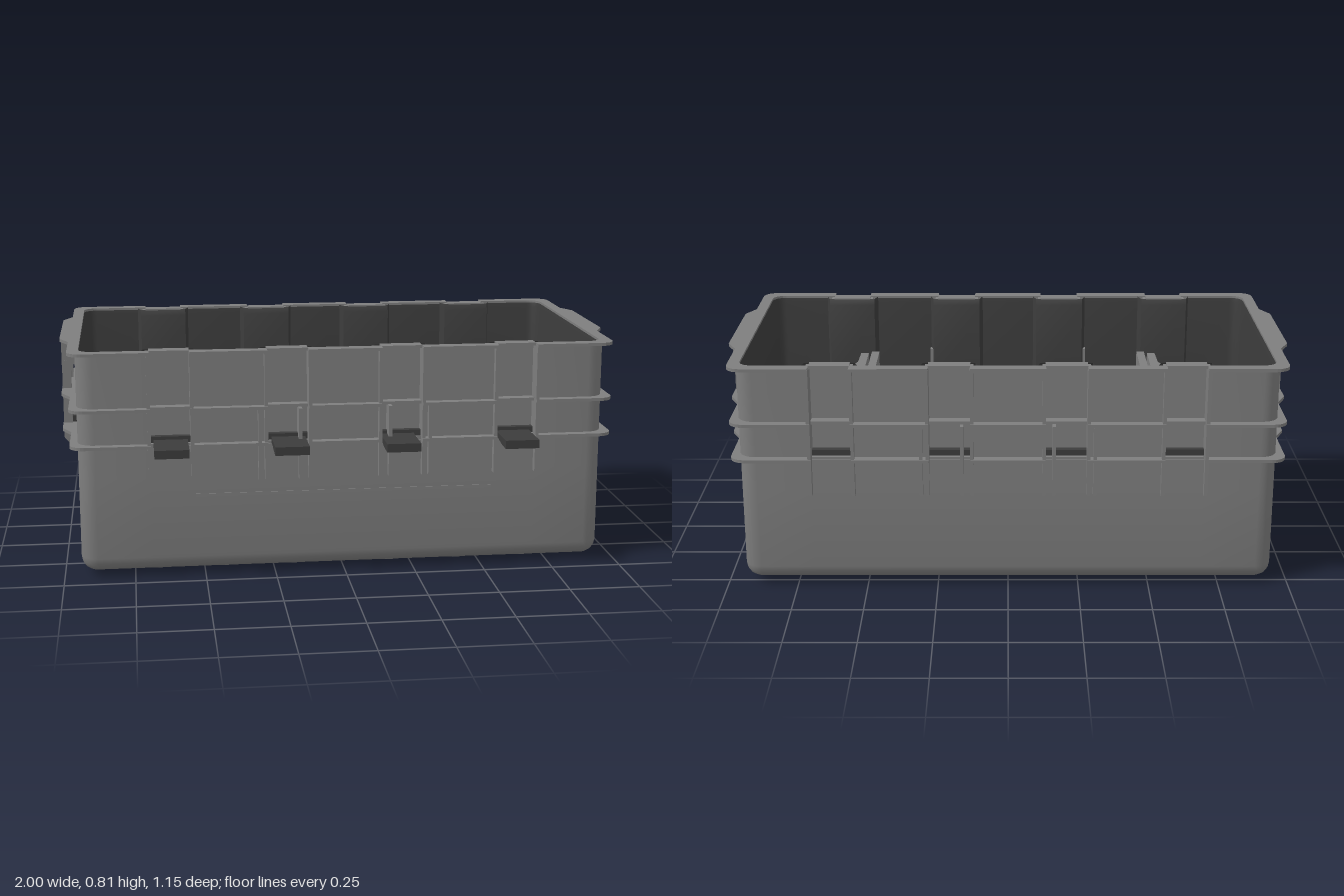
import * as THREE from 'three';
import { toCreasedNormals } from 'three/addons/utils/BufferGeometryUtils.js';

const HX = 0.94, HZ = 0.485;
const CHANNELS = [[0.685, 0.545], [0.275, 0.13]];
const grey = new THREE.MeshStandardMaterial({ color: 0x7e7e7e, side: THREE.DoubleSide });
const dark = new THREE.MeshStandardMaterial({ color: 0x3c3c3c, side: THREE.DoubleSide });

// Plan outline mirrored from one quarter: end recess or bulge, round corner, latch channels
function outline(hx, hz, r, channel, { recess = 0, bulge = 0, widen = 0 } = {}) {
  const q = bulge
    ? [[hx + bulge, 0.2], [hx, 0.27]]
    : [[hx, 0.155], [hx - recess, 0.155], [hx - recess, 0.32], [hx, 0.32]];
  for (let i = 0; i <= 6; i++) {
    const a = (i / 6) * Math.PI / 2;
    q.push([hx - r + r * Math.cos(a), hz - r + r * Math.sin(a)]);
  }
  for (const [a, b] of CHANNELS)
    q.push([a + widen, hz], [a + widen * 0.6, hz - channel], [b - widen * 0.6, hz - channel], [b - widen, hz]);
  const back = [...q].reverse();
  return [
    ...q,
    ...back.map(([x, z]) => [-x, z]),
    ...q.map(([x, z]) => [-x, -z]),
    ...back.map(([x, z]) => [x, -z]),
  ].map(([x, z]) => new THREE.Vector2(x, z));
}

// Open-topped skin through stacked outlines: height, inset, channel depth, end recess depth
function loft(rows, widen) {
  const pos = [], idx = [];
  let n = 0;
  for (const [y, inset, channel, recess] of rows) {
    const pts = outline(HX - inset, HZ - inset, Math.max(0.06 - inset, 0.012), channel, { recess, widen });
    n = pts.length;
    for (const p of pts) pos.push(p.x, y, p.y);
  }
  const centre = rows.length * n;
  pos.push(0, rows[0][0], 0);
  for (let i = 0; i < n; i++) {
    const k = (i + 1) % n;
    idx.push(centre, i, k);
    for (let j = 0; j < rows.length - 1; j++) {
      const a = j * n + i, b = j * n + k;
      idx.push(a, a + n, b + n, a, b + n, b);
    }
  }
  const g = new THREE.BufferGeometry();
  g.setAttribute('position', new THREE.Float32BufferAttribute(pos, 3));
  g.setIndex(idx);
  return toCreasedNormals(g, 0.6);
}

const shapeOf = (pts) => new THREE.Shape(pts.map(([a, b]) => new THREE.Vector2(a, b)));

// Flat plate of a plan shape, its upper face (before any bevel) at y
function plate(shape, thickness, y, bevel = 0) {
  const g = new THREE.ExtrudeGeometry(shape, {
    depth: thickness, bevelEnabled: bevel > 0, bevelThickness: bevel, bevelSize: bevel, bevelSegments: 2, curveSegments: 8,
  });
  g.rotateX(Math.PI / 2);
  g.translate(0, y, 0);
  return g;
}

export function createModel() {
  const model = new THREE.Group();
  const box = new THREE.Group();
  box.name = 'storageBox';
  box.position.z = -0.055;
  model.add(box);

  const add = (name, geo, x = 0, y = 0, z = 0, material = grey) => {
    const m = new THREE.Mesh(geo, material);
    m.name = name;
    m.position.set(x, y, z);
    box.add(m);
  };
  // Box given by its limits
  const block = (name, x0, x1, y0, y1, z0, z1, material) =>
    add(name, new THREE.BoxGeometry(Math.abs(x1 - x0), y1 - y0, Math.abs(z1 - z0)), (x0 + x1) / 2, (y0 + y1) / 2, (z0 + z1) / 2, material);

  // Outer skin with channels above the lowest flange and recessed end panels
  add('outerBody', loft([
    [0.018, 0.08, 0, 0], [0.018, 0.05, 0, 0], [0.022, 0.032, 0, 0], [0.033, 0.015, 0, 0.006], [0.05, 0.004, 0, 0.016],
    [0.07, 0, 0, 0.02], [0.36, 0, 0, 0.02], [0.385, 0, 0, 0], [0.474, 0, 0, 0], [0.478, 0, 0.04, 0], [0.812, 0, 0.04, 0],
  ], 0));

  // Dark liner with wider pilasters behind the channels
  add('innerLiner', loft([
    [0.03, 0.12, 0, 0], [0.03, 0.085, 0, 0], [0.035, 0.062, 0, 0], [0.05, 0.046, 0, 0], [0.08, 0.04, 0, 0],
    [0.385, 0.04, 0, 0], [0.39, 0.04, 0.025, 0], [0.41, 0.04, 0.025, 0], [0.41, 0.02, 0.045, 0],
    [0.79, 0.016, 0.045, 0], [0.812, 0.012, 0.04, 0],
  ], 0.03), 0, 0, 0, dark);

  // Three flanges that follow the channels and bulge at the ends
  for (const y of [0.815, 0.615, 0.485]) {
    const shape = new THREE.Shape(outline(0.967, 0.516, 0.05, 0.035, { bulge: 0.033 }));
    shape.holes.push(new THREE.Path(outline(HX - 0.013, HZ - 0.013, 0.047, 0.04)));
    add('flange', plate(shape, 0.011, y));
  }

  // Feet: low round-ended strips under the floor
  const foot = new THREE.Shape();
  foot.absarc(0, 0.338, 0.053, 0, Math.PI);
  foot.absarc(0, -0.338, 0.053, Math.PI, Math.PI * 2);
  foot.closePath();
  const footGeo = plate(foot, 0.004, 0.012, 0.008);
  for (const x of [-0.67, -0.43, -0.18, 0.18, 0.43, 0.67]) add('foot', footGeo, x);

  // Stiffening ribs beside the channels, front and back
  for (const sx of [-1, 1]) for (const sz of [-1, 1]) {
    for (const [a, b] of CHANNELS) for (const x of [a + 0.005, b - 0.005])
      block('channelRib', sx * (x - 0.006), sx * (x + 0.006), 0.35, 0.81, sz * 0.44, sz * 0.512);
    for (const x of [0.303, 0.16])
      block('shortRib', sx * (x - 0.006), sx * (x + 0.006), 0.35, 0.605, sz * 0.44, sz * 0.512);
    // Dark slot covers in the channels
    for (const [a, b] of CHANNELS)
      block('latchSlot', sx * a, sx * b, 0.485, 0.507, sz * 0.44, sz * 0.47, dark);
  }

  // Latch tongues in front
  const tongue = shapeOf([[0.44, 0.475], [0.51, 0.476], [0.56, 0.468], [0.63, 0.466], [0.63, 0.496], [0.51, 0.494], [0.44, 0.497]]);
  const tongueGeo = new THREE.ExtrudeGeometry(tongue, { depth: 0.12, bevelEnabled: false });
  tongueGeo.rotateY(-Math.PI / 2);
  tongueGeo.translate(0.06, 0, 0);
  for (const x of [-0.615, -0.2, 0.19, 0.61]) add('latchTongue', tongueGeo, x, 0, 0, dark);
  block('frontRidge', -0.53, 0.53, 0.29, 0.3, 0.48, 0.488);

  const gripGeo = new THREE.CapsuleGeometry(0.018, 0.115, 6, 12);
  gripGeo.rotateX(Math.PI / 2);
  const pinGeo = new THREE.CylinderGeometry(0.009, 0.009, 0.05, 12);
  pinGeo.rotateX(Math.PI / 2);

  for (const s of [-1, 1]) {
    for (const t of [-1, 1]) {
      // End brackets: wide blocks under the flanges, plates hanging clear of the wall, tapered heel
      block('bracketBlock', s * 0.935, s * 0.998, 0.705, 0.81, t * 0.085, t * 0.13);
      block('bracketPlate', s * 0.966, s * 0.998, 0.61, 0.705, t * 0.09, t * 0.115);
      block('bracketBlock', s * 0.935, s * 0.998, 0.58, 0.61, t * 0.085, t * 0.13);
      block('bracketPlate', s * 0.966, s * 0.998, 0.48, 0.58, t * 0.09, t * 0.115);
      const heel = shapeOf([[0.935, 0.48], [0.998, 0.48], [0.998, 0.43], [0.97, 0.395], [0.935, 0.395]].map(([x, y]) => [x * s, y]));
      add('bracketHeel', new THREE.ExtrudeGeometry(heel, { depth: 0.026, bevelEnabled: false }), 0, 0, t * 0.103 - 0.013);
      for (const y of [0.715, 0.59]) add('hingePin', pinGeo, s * 0.984, y, t * 0.108);
    }
    // Dark grips and the shelf between them
    for (const y of [0.568, 0.428]) add('grip', gripGeo, s * 0.96, y, 0, dark);
    block('gripShelf', s * 0.935, s * 0.985, 0.485, 0.507, -0.1, 0.1, dark);

    // Inner divider: wall, and a second wall with a tapered top strip
    block('divider', s * 0.51, s * 0.54, 0.032, 0.605, -0.4, 0.4);
    const strip = shapeOf([[0.552, -0.4], [0.582, -0.4], [0.585, -0.28], [0.612, -0.21], [0.612, 0.21], [0.585, 0.28], [0.582, 0.4], [0.552, 0.4]]
      .map(([x, z]) => [x * s, z]));
    add('dividerStrip', plate(strip, 0.02, 0.6));
    block('dividerBack', s * 0.552, s * 0.566, 0.032, 0.59, -0.4, 0.4);
  }
  return model;
}
